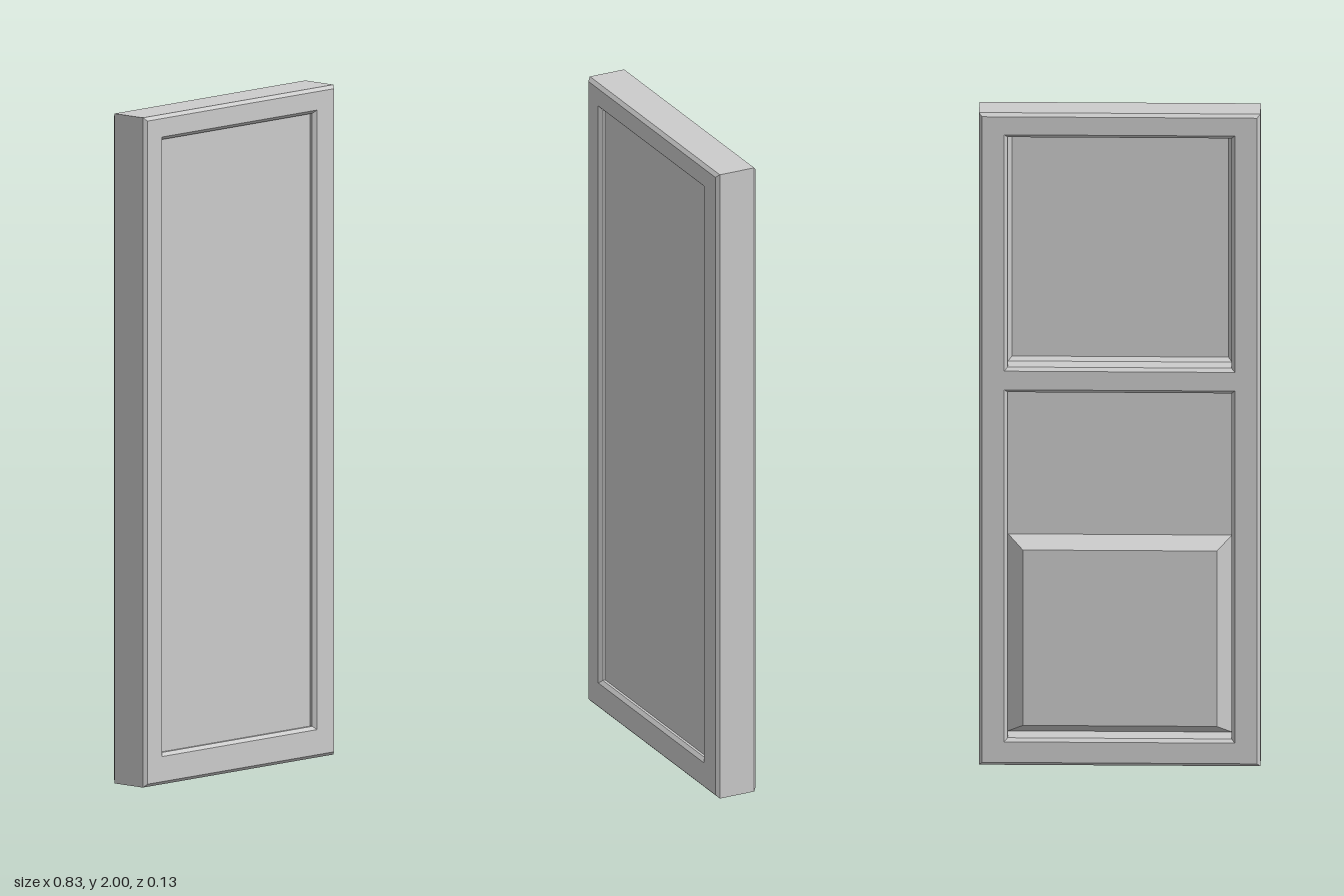
import * as THREE from 'three';

const paint = new THREE.MeshStandardMaterial({ color: 0xcccccc });
paint.name = 'pale grey paint';

// Rectangle loop: left, right, bottom, top, depth
const rect = (x0, x1, y0, y1, z) => ({ x0, x1, y0, y1, z });
// Same rectangle shrunk by d and moved to depth z
const inset = (r, d, z) => rect(r.x0 + d, r.x1 - d, r.y0 + d, r.y1 - d, z);

// Joins successive rectangles with flat bands; 'start' / 'end' close a loop
function loft(name, rects, cap = '') {
  const loops = rects.map(r => [
    [r.x0, r.y0, r.z], [r.x1, r.y0, r.z], [r.x1, r.y1, r.z], [r.x0, r.y1, r.z],
  ]);
  const pos = [];
  const quad = (a, b, c, d) => pos.push(...a, ...b, ...c, ...a, ...c, ...d);
  for (let k = 0; k + 1 < loops.length; k++) {
    for (let i = 0; i < 4; i++) {
      const j = (i + 1) % 4;
      quad(loops[k][i], loops[k + 1][i], loops[k + 1][j], loops[k][j]);
    }
  }
  if (cap === 'start') quad(...loops[0]);
  if (cap === 'end') quad(...[...loops[loops.length - 1]].reverse());
  const geo = new THREE.BufferGeometry();
  geo.setAttribute('position', new THREE.Float32BufferAttribute(pos, 3));
  geo.computeVertexNormals();
  const mesh = new THREE.Mesh(geo, paint);
  mesh.name = name;
  return mesh;
}

function trace(path, r) {
  path.moveTo(r.x0, r.y0);
  path.lineTo(r.x1, r.y0);
  path.lineTo(r.x1, r.y1);
  path.lineTo(r.x0, r.y1);
  path.closePath();
  return path;
}

export function createModel() {
  const group = new THREE.Group();
  group.name = 'doorPanel';
  const Z = 0.067, B = 0.01; // half depth, bevel width

  // Outer frame: front face, bevelled edges and sides
  const outer = rect(-0.415, 0.415, 0, 2, 0);
  const frontOpening = rect(-0.342, 0.332, 0.085, 1.935, Z);
  const backEdge = inset(outer, B, -Z);
  group.add(loft('frame', [
    frontOpening,
    inset(outer, B, Z),
    inset(outer, 0, Z - B),
    inset(outer, 0, -Z + B),
    backEdge,
  ]));

  // Front panel, slightly sunk behind a bevelled lip
  group.add(loft('frontPanel', [
    inset(frontOpening, B, Z - 0.018),
    inset(frontOpening, B, Z - B),
    frontOpening,
  ], 'start'));

  // Back face with two openings separated by a rail
  const upper = rect(-0.34, 0.34, 1.21, 1.935, -Z);
  const lower = rect(-0.34, 0.34, 0.073, 1.153, -Z);
  const shape = trace(new THREE.Shape(), backEdge);
  shape.holes.push(trace(new THREE.Path(), upper), trace(new THREE.Path(), lower));
  const backFace = new THREE.Mesh(new THREE.ShapeGeometry(shape), paint);
  backFace.rotation.y = Math.PI;
  backFace.position.z = -Z;
  backFace.name = 'backRails';
  group.add(backFace);

  // Upper recess: bevelled lip, wall, inner bead and panel
  group.add(loft('upperRecess', [
    upper,
    inset(upper, B, -Z + B),
    inset(upper, B, -Z + 0.075),
    inset(upper, 0.021, -Z + 0.09),
  ], 'end'));

  // Lower recess: bevelled lip, wall and flat panel
  const floorZ = -Z + 0.084;
  const well = inset(lower, B, floorZ);
  group.add(loft('lowerRecess', [lower, inset(lower, B, -Z + B), well], 'end'));

  // Raised block with sloping edges in the lower part of the recess
  const base = rect(well.x0, well.x1, well.y0, 0.687, floorZ);
  const face = rect(base.x0 + 0.044, base.x1 - 0.044, base.y0 + 0.03, base.y1 - 0.036, floorZ - 0.046);
  group.add(loft('raisedPanel', [base, face], 'end'));

  return group;
}
